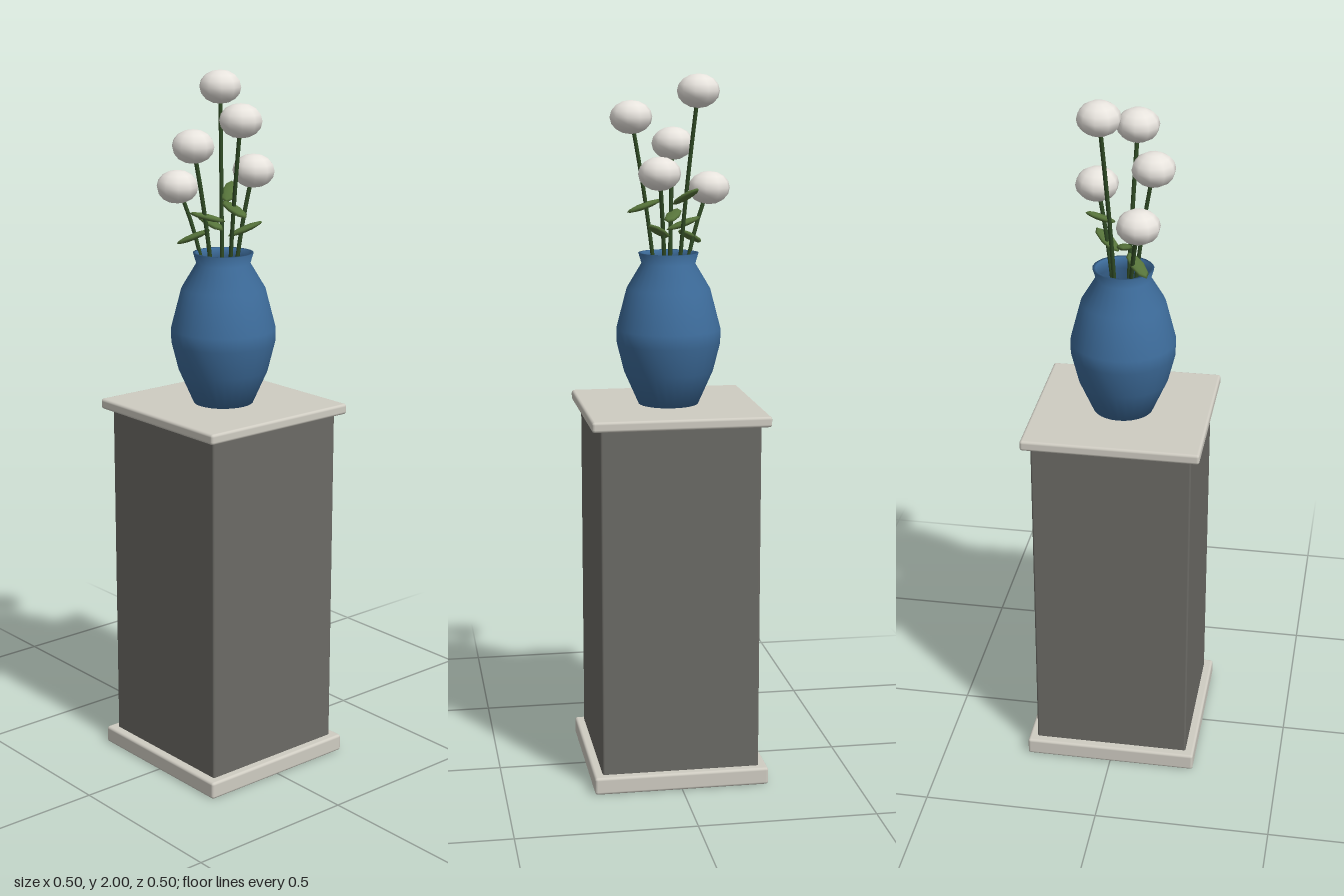
import * as THREE from 'three';
import { RoundedBoxGeometry } from 'three/addons/geometries/RoundedBoxGeometry.js';

const material = (color, side = THREE.FrontSide) => new THREE.MeshStandardMaterial({ color, side });
const stone = material(0xcfccc2);
const darkStone = material(0x6b6a65);
const glaze = material(0x3d6c9b, THREE.DoubleSide);
const stemGreen = material(0x2f4a24);
const leafGreen = material(0x56733a);
const petalWhite = material(0xe8e4de);

function part(parent, name, geometry, mat, x = 0, y = 0, z = 0) {
  const mesh = new THREE.Mesh(geometry, mat);
  mesh.name = name;
  mesh.position.set(x, y, z);
  parent.add(mesh);
  return mesh;
}

function block(parent, name, width, bottom, top, mat, bevel) {
  const h = top - bottom;
  part(parent, name, new RoundedBoxGeometry(width, h, width, 2, bevel), mat, 0, bottom + h / 2, 0);
}

export function createModel() {
  const model = new THREE.Group();
  model.name = 'flowersOnPedestal';

  // Pedestal: base slab, square column, top slab
  const pedestal = new THREE.Group();
  pedestal.name = 'pedestal';
  model.add(pedestal);
  block(pedestal, 'baseSlab', 0.5, 0, 0.05, stone, 0.008);
  block(pedestal, 'column', 0.45, 0.045, 1.05, darkStone, 0.006);
  block(pedestal, 'topSlab', 0.5, 1.045, 1.075, stone, 0.008);

  // Vase: outer wall, flared lip, inner wall down to a closed floor
  const profile = [
    [0, 1.075], [0.085, 1.075], [0.127, 1.17], [0.147, 1.25], [0.148, 1.29],
    [0.118, 1.405], [0.076, 1.475], [0.085, 1.505],
    [0.076, 1.505], [0.066, 1.475], [0.105, 1.4], [0.135, 1.28], [0.075, 1.09], [0, 1.09],
  ].map(([r, y]) => new THREE.Vector2(r, y));
  part(model, 'vase', new THREE.LatheGeometry(profile, 28), glaze);

  // Flowers: a curved stem and a slightly flattened round bloom each
  const bouquet = new THREE.Group();
  bouquet.name = 'bouquet';
  model.add(bouquet);
  const bloom = new THREE.SphereGeometry(0.06, 10, 8);
  bloom.scale(1, 0.78, 1);
  const blooms = [
    [-0.075, 1.953, -0.052], [0.037, 1.73, -0.078], [0.101, 1.88, 0.024],
    [-0.127, 1.68, 0.061], [-0.026, 1.804, 0.086],
  ];
  for (const [x, y, z] of blooms) {
    const flower = new THREE.Group();
    flower.name = 'flower';
    bouquet.add(flower);
    const path = new THREE.QuadraticBezierCurve3(
      new THREE.Vector3(x * 0.15, 1.12, z * 0.15),
      new THREE.Vector3(x * 0.28, 1.49, z * 0.28),
      new THREE.Vector3(x, y, z));
    part(flower, 'stem', new THREE.TubeGeometry(path, 12, 0.006, 6), stemGreen);
    part(flower, 'bloom', bloom, petalWhite, x, y, z);
  }

  // Leaves: flattened ovals, each given by its centre and pointing direction
  const leaf = new THREE.SphereGeometry(1, 8, 6);
  leaf.scale(0.021, 0.009, 0.052);
  const leaves = [
    [[0.065, 1.635, 0.015], [1, -0.35, 0]],
    [[0.035, 1.57, -0.05], [0.6, 0.4, -0.7]],
    [[-0.04, 1.665, -0.055], [-0.5, 0.4, -0.6]],
    [[-0.02, 1.605, 0.04], [-0.4, 0.25, 0.8]],
    [[-0.07, 1.545, 0.05], [-0.7, -0.4, 0.6]],
    [[-0.045, 1.585, 0.01], [-1, 0.35, 0.1]],
  ];
  for (const [centre, dir] of leaves) {
    const mesh = part(bouquet, 'leaf', leaf, leafGreen, ...centre);
    mesh.lookAt(centre[0] + dir[0], centre[1] + dir[1], centre[2] + dir[2]);
  }
  return model;
}
